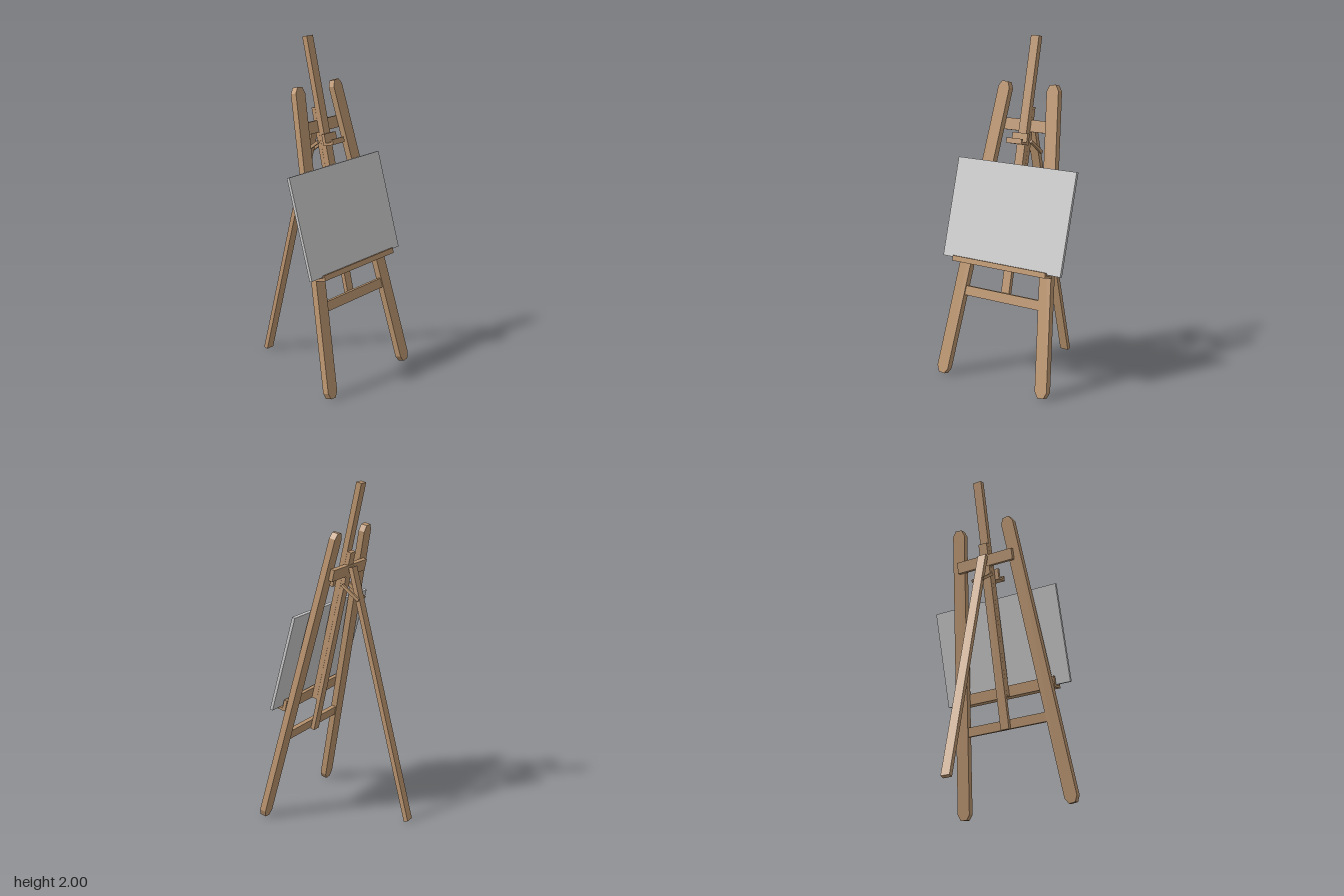
import * as THREE from 'three';

const wood = new THREE.MeshStandardMaterial({ color: 0xbc9670, flatShading: true });
const grey = new THREE.MeshStandardMaterial({ color: 0xcccccc, flatShading: true });

// Box given by its extents: [x0, x1], [y0, y1], half width in z
function slab(name, [x0, x1], [y0, y1], halfZ, material = wood) {
  const mesh = new THREE.Mesh(new THREE.BoxGeometry(x1 - x0, y1 - y0, halfZ * 2), material);
  mesh.position.set((x0 + x1) / 2, (y0 + y1) / 2, 0);
  mesh.name = name;
  return mesh;
}

// Bar laid between two points of the x-y plane
function bar(name, [x0, y0], [x1, y1], thickness, depth, z = 0, material = wood) {
  const length = Math.hypot(x1 - x0, y1 - y0);
  const mesh = new THREE.Mesh(new THREE.BoxGeometry(thickness, length, depth), material);
  mesh.position.set((x0 + x1) / 2, (y0 + y1) / 2, z);
  mesh.rotation.z = -Math.atan2(x1 - x0, y1 - y0);
  mesh.name = name;
  return mesh;
}

// Front leg: plank with chamfered ends, side = +1 or -1 along z
function frontLeg(side) {
  const w = 0.04, h = 0.888, cut = 0.02, rise = 0.035, thick = 0.038;
  const outline = [
    [-w + cut, -h], [w - cut, -h], [w, -h + rise], [w, h - rise],
    [w - cut, h], [-w + cut, h], [-w, h - rise], [-w, -h + rise],
  ].map(([x, y]) => new THREE.Vector2(x, y));
  const geometry = new THREE.ExtrudeGeometry(new THREE.Shape(outline), { depth: thick, bevelEnabled: false });
  geometry.translate(0, 0, -thick / 2);
  const leg = new THREE.Mesh(geometry, wood);
  leg.position.set(0, 0.89, side * 0.263);
  leg.rotation.set(-side * 0.108, Math.PI / 2, 0);
  leg.name = 'frontLeg';
  return leg;
}

// Holder with a back strip, a shelf and a raised front lip
function holder(name, y, halfZ) {
  const group = new THREE.Group();
  group.name = name;
  group.add(
    slab('backStrip', [0.017, 0.038], [y, y + 0.067], halfZ),
    slab('shelf', [0.038, 0.091], [y, y + 0.015], halfZ),
    slab('lip', [0.078, 0.091], [y + 0.015, y + 0.031], halfZ),
  );
  return group;
}

export function createModel() {
  const model = new THREE.Group();
  model.name = 'easel';

  // Leaning front frame, built upright and then tilted back
  const frame = new THREE.Group();
  frame.name = 'frontFrame';
  frame.position.x = 0.387;
  frame.rotation.z = THREE.MathUtils.degToRad(13);
  frame.add(
    frontLeg(1),
    frontLeg(-1),
    slab('upperCrossbar', [-0.044, -0.018], [1.495, 1.564], 0.19),
    slab('lowerCrossbar', [-0.013, 0.013], [0.493, 0.549], 0.275),
    slab('backSlat', [-0.042, -0.0175], [0.49, 1.64], 0.028),
    slab('mast', [-0.017, 0.0165], [0.69, 2.048], 0.028),
    holder('canvasLedge', 0.688, 0.33),
    holder('topClamp', 1.415, 0.053),
  );
  model.add(frame);

  // Canvas resting on the ledge
  model.add(bar('canvas', [0.287, 0.703], [0.126, 1.273], 0.018, 0.834, 0, grey));

  // Rear leg and the pair of hinge braces
  model.add(bar('rearLeg', [-0.397, 0.004], [-0.019, 1.503], 0.027, 0.056));
  for (const side of [1, -1]) {
    model.add(bar('hingeBrace', [-0.077, 1.317], [0.032, 1.397], 0.018, 0.014, side * 0.035));
  }
  return model;
}
